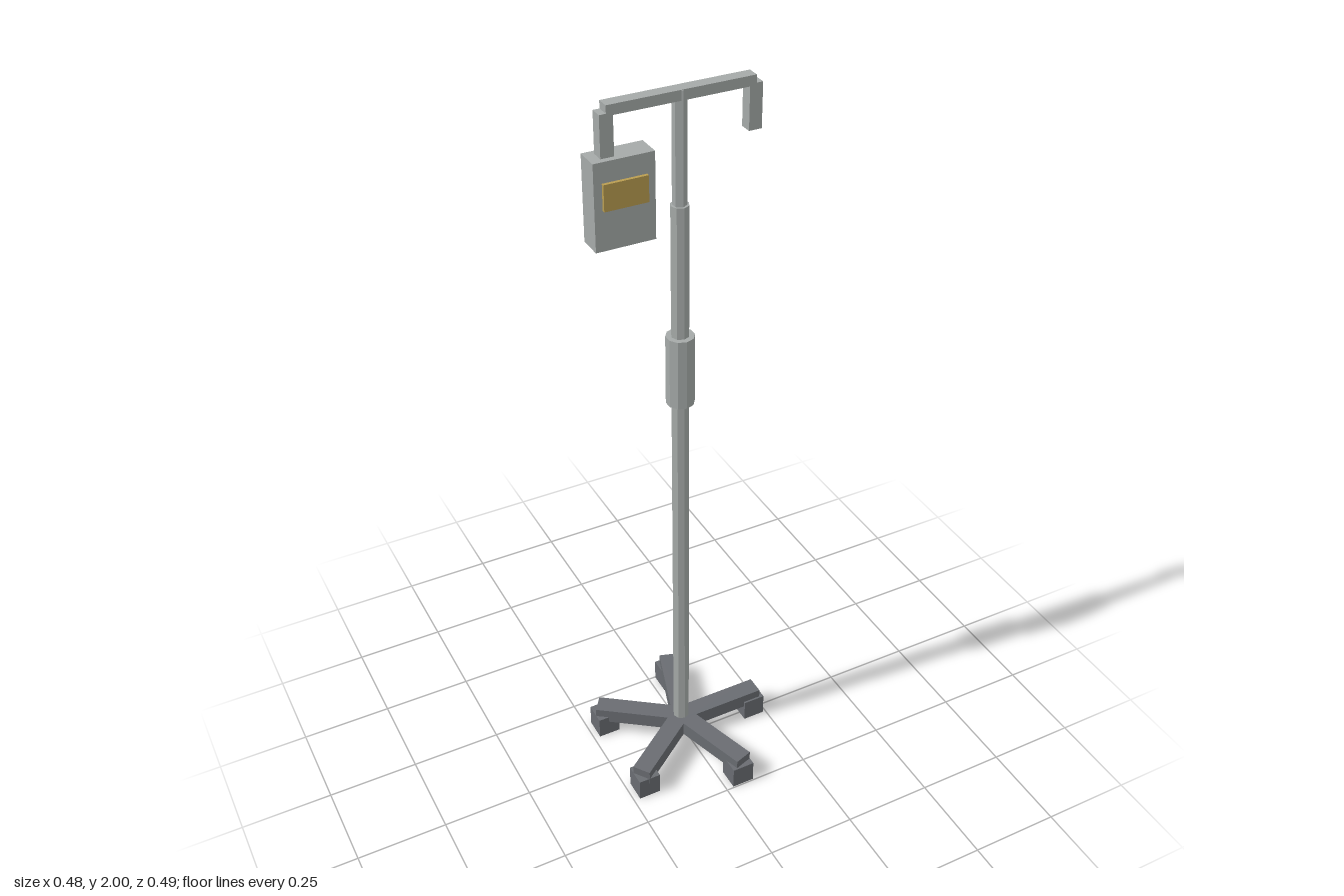
import * as THREE from 'three';

export function createModel() {
  const model = new THREE.Group();
  model.name = 'dripStand';
  const mat = (name, color) => {
    const m = new THREE.MeshStandardMaterial({ color });
    m.name = name;
    return m;
  };
  const steel = mat('pale steel', 0xa5aaa8);
  const base = mat('dark grey', 0x696c71);
  const gold = mat('label gold', 0xb99d50);

  // Everything hangs on the pole axis, slightly off centre
  const stand = new THREE.Group();
  stand.name = 'stand';
  stand.position.set(-0.017, 0, -0.001);
  model.add(stand);

  const add = (name, geometry, material, x, y, z) => {
    // Facet normals keep the low-poly sides crisp
    const g = geometry.toNonIndexed();
    g.computeVertexNormals();
    const mesh = new THREE.Mesh(g, material);
    mesh.name = name;
    mesh.position.set(x, y, z);
    stand.add(mesh);
    return mesh;
  };
  const box = (name, material, x0, x1, y0, y1, z0, z1) =>
    add(name, new THREE.BoxGeometry(x1 - x0, y1 - y0, z1 - z0), material,
      (x0 + x1) / 2, (y0 + y1) / 2, (z0 + z1) / 2);
  const rod = (name, r, sides, y0, y1) =>
    add(name, new THREE.CylinderGeometry(r, r, y1 - y0, sides), steel, 0, (y0 + y1) / 2, 0);

  // Five-legged base with square casters that stay axis-aligned
  const legLength = 0.247;
  for (let i = 0; i < 5; i++) {
    const a = (i * Math.PI * 2) / 5;
    const c = Math.cos(a), s = Math.sin(a);
    const leg = add('leg', new THREE.BoxGeometry(legLength, 0.043, 0.052), base,
      c * legLength / 2, 0.0685, -s * legLength / 2);
    leg.rotation.y = a;
    add('caster', new THREE.BoxGeometry(0.063, 0.065, 0.063), base, c * 0.227, 0.0325, -s * 0.227);
  }

  // Telescopic pole and its clamp
  rod('lowerPole', 0.023, 8, 0.06, 1.72);
  rod('clampSleeve', 0.0365, 10, 1.18, 1.372);
  rod('upperPole', 0.018, 6, 1.7, 1.999);

  // Crossbar with a hook at each end
  box('crossbar', steel, -0.184, 0.184, 1.975, 2, -0.016, 0.016);
  for (const side of [-1, 1]) {
    box('hook', steel, side * 0.184 - 0.0165, side * 0.184 + 0.0165, 1.87, 1.981, -0.016, 0.016);
  }

  // Fluid bag and its raised label
  box('fluidBag', steel, -0.226, -0.076, 1.665, 1.88, -0.031, 0.031);
  box('bagLabel', gold, -0.206, -0.096, 1.765, 1.83, 0.03, 0.0395);

  return model;
}
